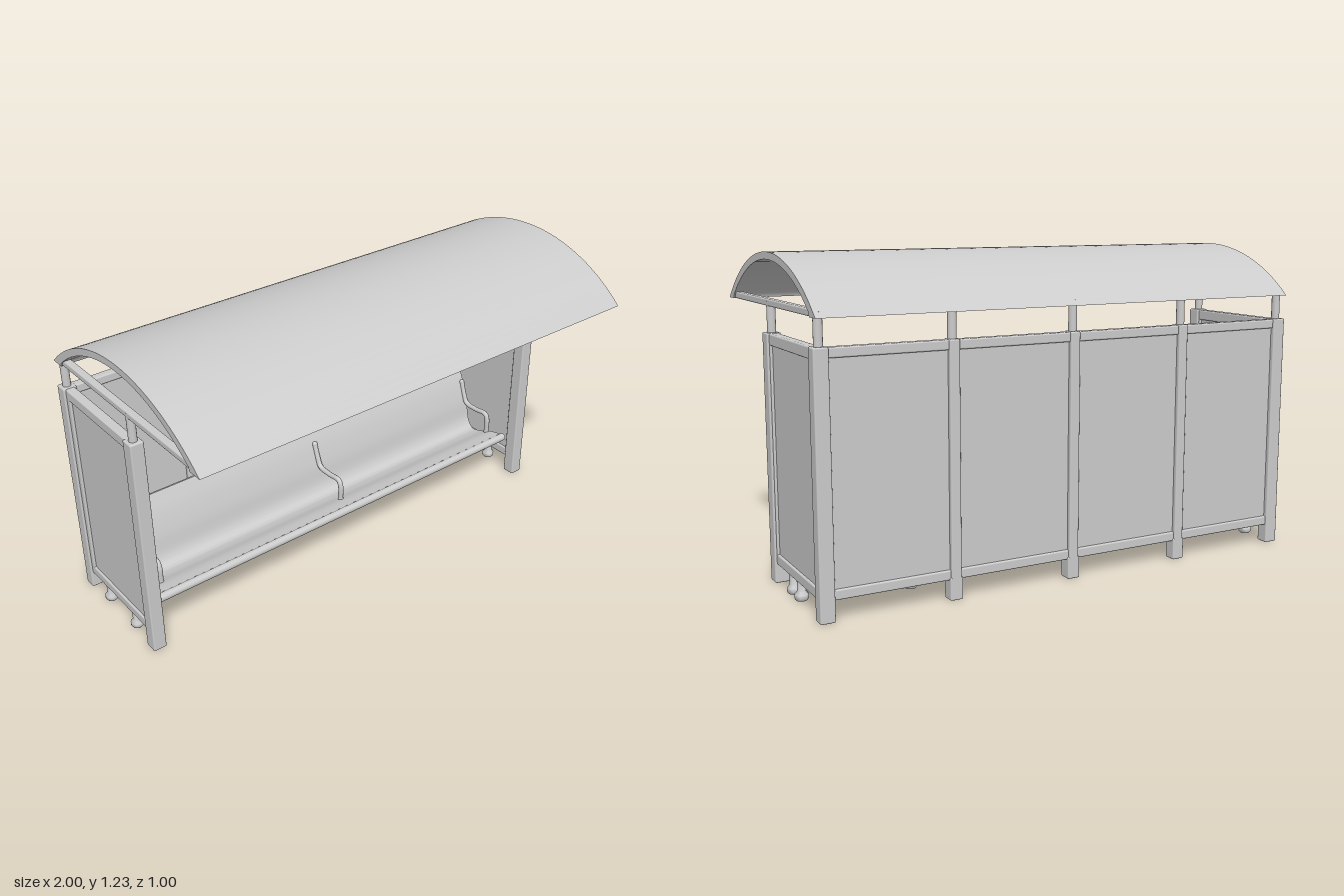
import * as THREE from 'three';
import { toCreasedNormals } from 'three/addons/utils/BufferGeometryUtils.js';
import { RoundedBoxGeometry } from 'three/addons/geometries/RoundedBoxGeometry.js';

const material = new THREE.MeshStandardMaterial({ color: 0xcccccc });

function add(parent, name, geometry) {
  const mesh = new THREE.Mesh(geometry, material);
  mesh.name = name;
  parent.add(mesh);
  return mesh;
}

// Softened box given by its low and high corners
function box(parent, name, [x0, y0, z0], [x1, y1, z1], radius = 0.006) {
  const g = new RoundedBoxGeometry(x1 - x0, y1 - y0, z1 - z0, 2, radius);
  g.translate((x0 + x1) / 2, (y0 + y1) / 2, (z0 + z1) / 2);
  return add(parent, name, g);
}

// Extrude a [z, y] outline along x
function extrudeX(parent, name, points, x0, x1) {
  const shape = new THREE.Shape(points.map(([z, y]) => new THREE.Vector2(-z, y)));
  const g = new THREE.ExtrudeGeometry(shape, { depth: x1 - x0, bevelEnabled: false });
  g.rotateY(Math.PI / 2).translate(x0, 0, 0);
  return add(parent, name, toCreasedNormals(g, 0.6));
}

// Points of a circular arch, from +halfWidth to -halfWidth in z
function arch(halfWidth, baseY, topY, steps = 40) {
  const rise = topY - baseY;
  const r = (halfWidth ** 2 + rise ** 2) / (2 * rise);
  const a = Math.asin(halfWidth / r);
  return Array.from({ length: steps + 1 }, (_, i) => {
    const t = a * (1 - (2 * i) / steps);
    return [r * Math.sin(t), topY - r + r * Math.cos(t)];
  });
}

// Square post with a slimmer stub up to the roof
function post(parent, name, x, z, width, depth) {
  const w = width / 2, d = depth / 2;
  box(parent, name, [x - w, 0, z - d], [x + w, 0.935, z + d]);
  add(parent, name + 'Stub', new THREE.CylinderGeometry(0.016, 0.016, 0.13, 16)).position.set(x, 0.985, z);
}

// Small levelling foot with a ball-shaped base
function foot(parent, x, z) {
  const profile = [[0, 0], [0.02, 0], [0.026, 0.008], [0.026, 0.022], [0.016, 0.034], [0.016, 0.085], [0, 0.085]];
  const g = new THREE.LatheGeometry(profile.map(p => new THREE.Vector2(...p)), 16);
  add(parent, 'levellingFoot', toCreasedNormals(g, 0.8)).position.set(x, 0, z);
}

function createRoof() {
  const roof = new THREE.Group();
  roof.name = 'roof';
  const outline = [...arch(0.5, 1.03, 1.225), ...arch(0.435, 1.045, 1.198).reverse()];
  outline.splice(41, 0, [-0.44, 1.03]);
  outline.push([0.44, 1.03]);
  extrudeX(roof, 'roofShell', outline, -0.992, 0.992);
  // Tie bars across the arch above the posts
  for (const x of [-0.972, -0.49, 0, 0.49, 0.972])
    box(roof, 'roofTie', [x - 0.015, 1.03, -0.46], [x + 0.015, 1.056, 0.46]);
  return roof;
}

function createBackWall() {
  const wall = new THREE.Group();
  wall.name = 'backWall';
  const posts = [-0.972, -0.49, 0, 0.49, 0.972];
  posts.forEach((x, i) => {
    const end = i === 0 || i === 4;
    post(wall, 'backPost', x, -0.462, end ? 0.055 : 0.04, 0.052);
    if (!end) box(wall, 'postShoe', [x - 0.025, 0, -0.488], [x + 0.025, 0.085, -0.436]);
  });
  box(wall, 'topRail', [-0.96, 0.897, -0.48], [0.96, 0.933, -0.444]);
  box(wall, 'bottomRail', [-0.96, 0.075, -0.48], [0.96, 0.112, -0.444]);
  for (let i = 0; i < 4; i++)
    box(wall, 'backPanel', [posts[i], 0.1, -0.471], [posts[i + 1], 0.91, -0.453], 0.002);
  return wall;
}

function createSideWall(side) {
  const wall = new THREE.Group();
  wall.name = side > 0 ? 'leftWall' : 'rightWall';
  const x = side * 0.972;
  post(wall, 'frontPost', x, 0.031, 0.055, 0.056);
  box(wall, 'sidePanel', [x - 0.01, 0.09, -0.44], [x + 0.01, 0.92, 0.01], 0.002);
  const bar = (name, y0, y1, z0, z1) => box(wall, name, [x - 0.019, y0, z0], [x + 0.019, y1, z1]);
  bar('sideTopRail', 0.89, 0.933, -0.44, 0.01);
  bar('sideBottomRail', 0.072, 0.112, -0.44, 0.01);
  bar('sideStile', 0.075, 0.93, -0.445, -0.415);
  bar('sideStile', 0.075, 0.93, -0.005, 0.015);
  for (const z of side > 0 ? [-0.13, -0.213] : [-0.118, -0.325]) foot(wall, x, z);
  return wall;
}

function createBench() {
  const bench = new THREE.Group();
  bench.name = 'bench';
  const x0 = -0.935, x1 = 0.885;
  // Seat and backrest: one curved line thickened along its normal
  const curve = new THREE.CatmullRomCurve3([
    [0.03, 0.222], [-0.04, 0.205], [-0.11, 0.175], [-0.165, 0.168],
    [-0.198, 0.205], [-0.22, 0.3], [-0.248, 0.385], [-0.28, 0.455],
  ].map(([z, y]) => new THREE.Vector3(0, y, z)));
  const upper = [], lower = [];
  for (let i = 0; i <= 36; i++) {
    const p = curve.getPoint(i / 36), t = curve.getTangent(i / 36);
    upper.push([p.z + t.y * 0.009, p.y - t.z * 0.009]);
    lower.unshift([p.z - t.y * 0.009, p.y + t.z * 0.009]);
  }
  extrudeX(bench, 'seatShell', [...upper, ...lower], x0, x1);
  const edge = new THREE.CylinderGeometry(0.017, 0.017, x1 - x0 + 0.01, 16).rotateZ(Math.PI / 2);
  add(bench, 'seatFrontEdge', edge).position.set((x0 + x1) / 2, 0.217, 0.03);

  // Armrests: back plate, bent arm and short front leg
  for (const x of [-0.88, 0.005, 0.875]) {
    const arm = new THREE.Group();
    arm.name = 'armrest';
    const path = new THREE.CatmullRomCurve3([
      [-0.24, 0.395], [-0.222, 0.34], [-0.2, 0.3], [-0.14, 0.293], [-0.075, 0.296], [-0.062, 0.275], [-0.062, 0.21],
    ].map(([z, y]) => new THREE.Vector3(x, y, z)));
    add(arm, 'armBar', new THREE.TubeGeometry(path, 40, 0.011, 10));
    for (const t of [0, 1])
      add(arm, 'armEnd', new THREE.SphereGeometry(0.012, 12, 8)).position.copy(path.getPoint(t));
    bench.add(arm);
  }

  // Central bracket tying the seat to the back wall
  extrudeX(bench, 'seatBracket', [
    [-0.02, 0.205], [-0.03, 0.155], [-0.2, 0.148], [-0.45, 0.148], [-0.45, 0.175], [-0.19, 0.165], [-0.1, 0.175],
  ], -0.012, 0.012);
  return bench;
}

export function createModel() {
  const shelter = new THREE.Group();
  shelter.name = 'shelter';
  shelter.add(createRoof(), createBackWall(), createSideWall(1), createSideWall(-1), createBench());
  foot(shelter, 0.58, -0.28);
  return shelter;
}
